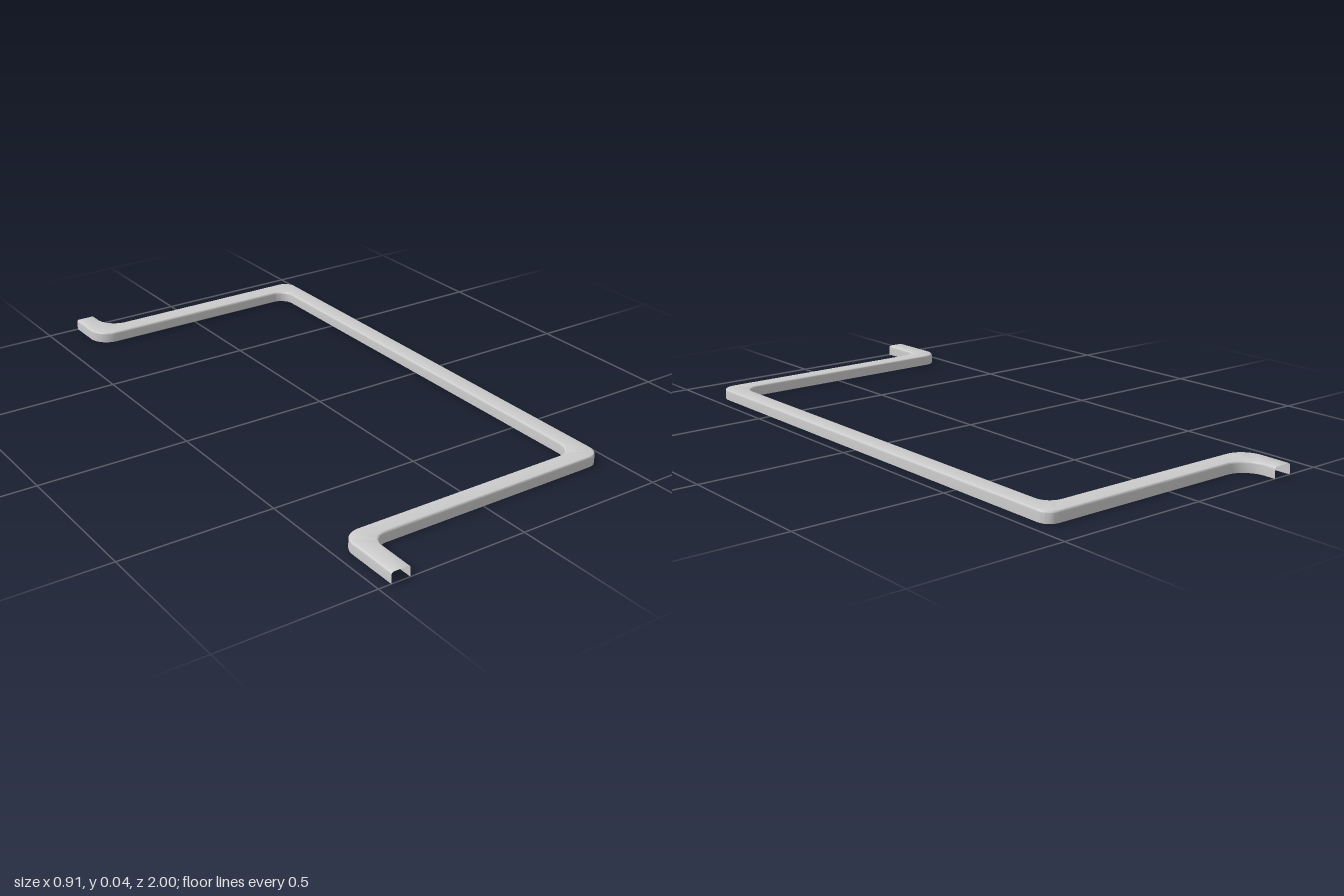
import * as THREE from 'three';
import { toCreasedNormals } from 'three/addons/utils/BufferGeometryUtils.js';

const HEIGHT = 0.036, ROUND = 0.007, BEND_STEPS = 10, ROUND_STEPS = 4;

// Turns a polyline in the x-z plane into points with a round arc at each corner.
function filletPath(corners, radii) {
  const pts = corners.map(([x, z]) => new THREE.Vector2(x, z));
  const out = [pts[0]];
  for (let i = 1; i < pts.length - 1; i++) {
    const back = pts[i - 1].clone().sub(pts[i]).normalize().multiplyScalar(radii[i - 1]);
    const ahead = pts[i + 1].clone().sub(pts[i]).normalize().multiplyScalar(radii[i - 1]);
    for (let s = 0; s <= BEND_STEPS; s++) {
      const a = (s / BEND_STEPS) * Math.PI / 2;
      out.push(pts[i].clone()
        .addScaledVector(back, 1 - Math.sin(a))
        .addScaledVector(ahead, 1 - Math.cos(a)));
    }
  }
  out.push(pts[pts.length - 1]);
  return out;
}

// Open-bottomed channel section: [edge 0 or 1, inset from that edge, y].
function channelSection() {
  const half = [[0, 0]];
  for (let s = 0; s <= ROUND_STEPS; s++) {
    const a = (s / ROUND_STEPS) * Math.PI / 2;
    half.push([ROUND * (1 - Math.cos(a)), HEIGHT - ROUND * (1 - Math.sin(a))]);
  }
  return [
    ...half.map(([d, y]) => [0, d, y]),
    ...half.reverse().map(([d, y]) => [1, d, y]),
  ];
}

// Sweeps the section between the two edge lines.
function channelGeometry(edgeA, edgeB) {
  const section = channelSection(), m = section.length;
  const positions = [], index = [];
  edgeA.forEach((a, i) => {
    const b = edgeB[i];
    const across = b.clone().sub(a).normalize();
    for (const [side, inset, y] of section) {
      const p = (side ? b : a).clone().addScaledVector(across, side ? -inset : inset);
      positions.push(p.x, y, p.y);
    }
    if (i === 0) return;
    for (let j = 0; j < m - 1; j++) {
      const p = (i - 1) * m + j;
      index.push(p, p + m, p + 1, p + 1, p + m, p + m + 1);
    }
  });
  const geometry = new THREE.BufferGeometry();
  geometry.setAttribute('position', new THREE.Float32BufferAttribute(positions, 3));
  geometry.setIndex(index);
  return toCreasedNormals(geometry, 0.6);
}

export function createModel() {
  const group = new THREE.Group();
  group.name = 'bentChannelRail';

  // Inner and outer edges of the rail, from the back end to the front end
  const edgeA = filletPath(
    [[-0.389, -1], [-0.389, -0.82], [0.397, -0.82], [0.397, 0.769], [-0.458, 0.769], [-0.458, 1]],
    [0.07, 0.05, 0.06, 0.055]);
  const edgeB = filletPath(
    [[-0.322, -1], [-0.322, -0.888], [0.457, -0.888], [0.457, 0.827], [-0.396, 0.827], [-0.396, 1]],
    [0.075, 0.04, 0.045, 0.05]);

  const rail = new THREE.Mesh(
    channelGeometry(edgeA, edgeB),
    new THREE.MeshStandardMaterial({ color: 0xcccccc, side: THREE.DoubleSide }));
  rail.name = 'channelRail';
  group.add(rail);
  return group;
}
